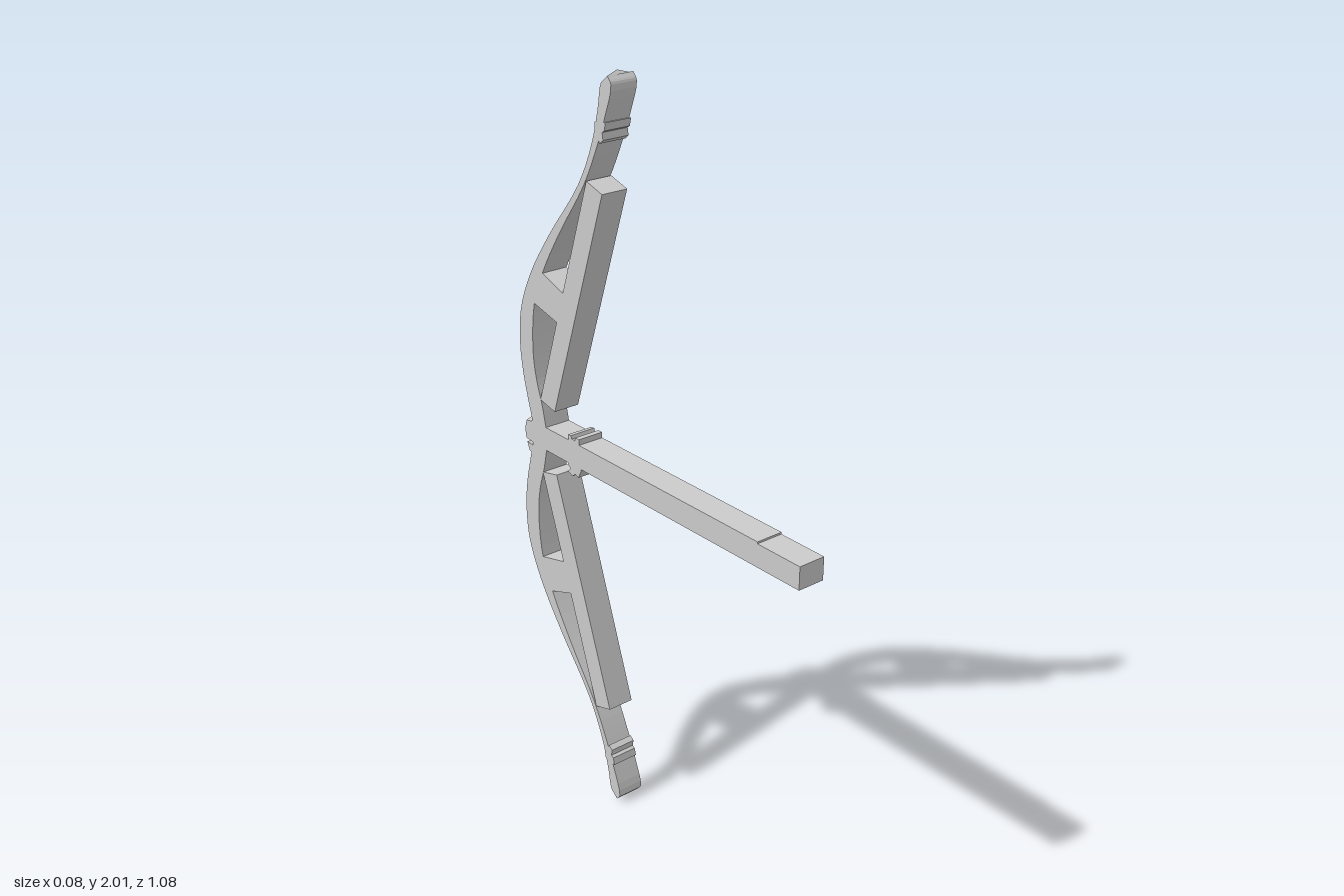
import * as THREE from 'three';

const X0 = -0.04, X1 = 0.035, RIDGE = 0.014, MID = 0.9975;
const mat = new THREE.MeshStandardMaterial({ color: 0xcccccc, flatShading: true });

// flat plate: outline given as [z, y], extruded across the width
function plate(name, pts) {
  const shape = new THREE.Shape(pts.map(([z, y]) => new THREE.Vector2(-z, y)));
  const g = new THREE.ExtrudeGeometry(shape, { depth: X1 - X0, bevelEnabled: false });
  g.rotateY(Math.PI / 2).translate(X0, 0, 0);
  const m = new THREE.Mesh(g, mat);
  m.name = name;
  return m;
}

// five-sided bar with a ridged back, lofted between inner and outer edge points [z, y]
function ridgedBar(name, inner, outer, steps, flip) {
  const curve = (pts) => new THREE.CatmullRomCurve3(pts.map(([z, y]) => new THREE.Vector3(0, y, z)), false, 'centripetal');
  const a = curve(inner), b = curve(outer);
  const pos = [], idx = [], n = 5;
  const tri = (p, q, r) => (flip ? idx.push(p, r, q) : idx.push(p, q, r));
  for (let i = 0; i <= steps; i++) {
    const t = i / steps;
    const p = a.getPoint(t), q = b.getPoint(t), tan = b.getTangent(t);
    // step in from the ridge, square to the outer edge
    const nrm = new THREE.Vector3(0, tan.z, -tan.y);
    if (nrm.dot(q.clone().sub(p)) < 0) nrm.negate();
    const e = q.clone().addScaledVector(nrm, -RIDGE);
    pos.push(X0, p.y, p.z, X0, e.y, e.z, (X0 + X1) / 2, q.y, q.z, X1, e.y, e.z, X1, p.y, p.z);
    if (i === 0) continue;
    for (let k = 0; k < n; k++) {
      const k2 = (k + 1) % n, lo = (i - 1) * n, hi = i * n;
      tri(lo + k, hi + k, lo + k2);
      tri(lo + k2, hi + k, hi + k2);
    }
  }
  // end caps
  const last = steps * n;
  for (let k = 1; k < n - 1; k++) {
    tri(0, k, k + 1);
    tri(last, last + k + 1, last + k);
  }
  const g = new THREE.BufferGeometry();
  g.setAttribute('position', new THREE.Float32BufferAttribute(pos, 3));
  g.setIndex(idx);
  const flat = g.toNonIndexed();
  flat.computeVertexNormals();
  const m = new THREE.Mesh(flat, mat);
  m.name = name;
  return m;
}

// one half of the bow; s = 1 upper, s = -1 lower
function bowHalf(s) {
  const half = new THREE.Group();
  half.name = s > 0 ? 'upperHalf' : 'lowerHalf';
  const mir = (pts) => pts.map(([z, y]) => [z, MID + s * (y - MID)]);

  // curved limb, from the grip to the rounded tip
  const inner = [[-0.41, 0.99], [-0.418, 1.03], [-0.432, 1.09], [-0.453, 1.155], [-0.464, 1.235], [-0.45, 1.367],
    [-0.41, 1.457], [-0.337, 1.574], [-0.232, 1.72], [-0.18, 1.82], [-0.146, 1.9], [-0.123, 1.975], [-0.136, 1.993]];
  const outer = [[-0.485, 0.99], [-0.493, 1.03], [-0.51, 1.09], [-0.526, 1.155], [-0.535, 1.235], [-0.525, 1.335],
    [-0.477, 1.445], [-0.39, 1.57], [-0.265, 1.725], [-0.212, 1.83], [-0.188, 1.91], [-0.172, 1.98], [-0.148, 2.0]];
  half.add(ridgedBar('limb', mir(inner), mir(outer), 48, s < 0));

  // straight brace and the strut tying it to the limb
  half.add(plate('brace', mir([[-0.162, 1.713], [-0.222, 1.732], [-0.438, 1.102], [-0.376, 1.088]])));
  half.add(plate('strut', mir([[-0.31, 1.418], [-0.42, 1.457], [-0.465, 1.367], [-0.34, 1.335]])));

  // small string nock near the tip
  half.add(plate('nock', mir([[-0.145, 1.885], [-0.15, 1.865], [-0.158, 1.86], [-0.155, 1.842],
    [-0.168, 1.832], [-0.175, 1.845], [-0.19, 1.83], [-0.185, 1.88]])));
  return half;
}

export function createModel() {
  const model = new THREE.Group();
  model.name = 'bow';
  model.add(bowHalf(1), bowHalf(-1));

  // long bar reaching forward, slightly taller towards the grip
  model.add(plate('stock', [[0.54, 0.963], [0.54, 1.024], [0.4, 1.024], [0.4, 1.029], [-0.41, 1.029],
    [-0.48, 1.03], [-0.48, 0.963], [0.07, 0.963]]));

  // grip block with a ridged back
  model.add(ridgedBar('grip', [[-0.43, 0.96], [-0.43, 0.997], [-0.43, 1.035]],
    [[-0.522, 0.967], [-0.526, 0.997], [-0.518, 1.025]], 4, false));
  model.add(ridgedBar('gripLip', [[-0.45, 0.925], [-0.45, 0.955]], [[-0.508, 0.93], [-0.518, 0.953]], 1, false));

  // notched clips above and below the stock
  model.add(plate('upperClip', [[-0.275, 1.02], [-0.275, 1.045], [-0.29, 1.045], [-0.292, 1.036],
    [-0.305, 1.036], [-0.308, 1.045], [-0.322, 1.043], [-0.316, 1.02]]));
  model.add(plate('lowerClip', [[-0.268, 0.97], [-0.268, 0.958], [-0.28, 0.935], [-0.294, 0.94],
    [-0.306, 0.93], [-0.325, 0.938], [-0.312, 0.95], [-0.325, 0.958], [-0.32, 0.97]]));
  return model;
}
